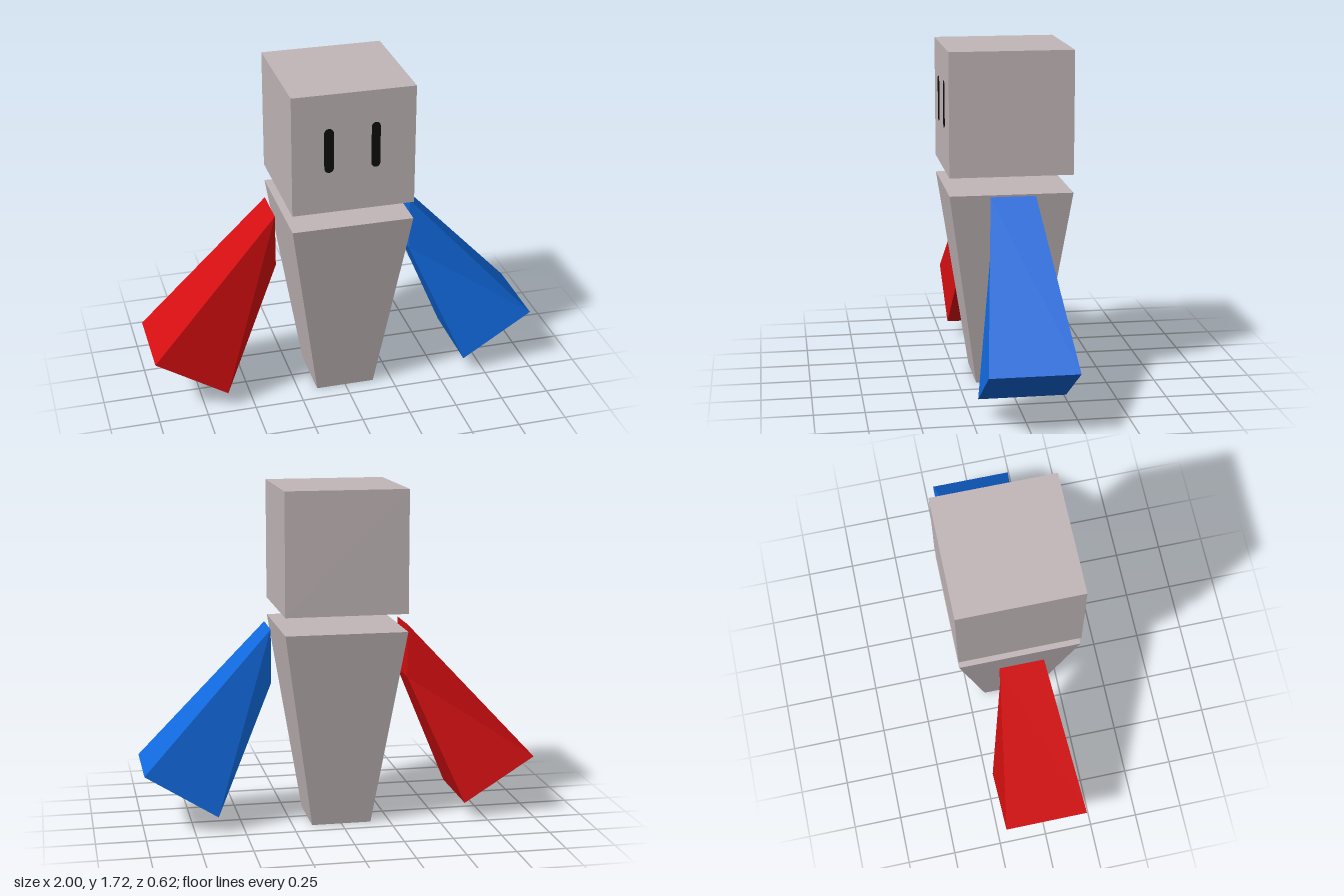
import * as THREE from 'three';

// Box whose eight corners are placed by a rule on their signs (-1 or 1)
function warpedBox(rule) {
  const geo = new THREE.BoxGeometry(2, 2, 2).toNonIndexed();
  const p = geo.attributes.position;
  for (let i = 0; i < p.count; i++) {
    p.setXYZ(i, ...rule(p.getX(i), p.getY(i), p.getZ(i)));
  }
  geo.computeVertexNormals();
  return geo;
}

export function createModel() {
  const model = new THREE.Group();
  model.name = 'figure';

  const material = (name, color) => {
    const m = new THREE.MeshStandardMaterial({ color });
    m.name = name;
    return m;
  };
  const grey = material('warm grey', 0xc1b6b8);
  const red = material('red', 0xd40e10);
  const blue = material('blue', 0x116adf);
  const black = material('black', 0x0c0e0d);

  const add = (name, geo, mat) => {
    const mesh = new THREE.Mesh(geo, mat);
    mesh.name = name;
    model.add(mesh);
    return mesh;
  };

  // Floating cube head
  add('head', new THREE.BoxGeometry(0.615, 0.615, 0.615), grey).position.y = 1.413;

  // Body tapering towards the base
  add('body', warpedBox((x, y, z) => y > 0
    ? [x * 0.307, 1.015, z * 0.307]
    : [x * 0.152, 0, z * 0.16]), grey);

  // Detached arms, flaring outwards and down
  for (const [name, side, mat] of [['leftArm', 1, blue], ['rightArm', -1, red]]) {
    add(name, warpedBox((x, y, z) => {
      if (x !== side) return [side * 0.35, y > 0 ? 1.015 : 0.743, z * 0.112];
      return y > 0 ? [side, 0.317, z * 0.215] : [side * 0.636, 0.088, z * 0.215];
    }), mat);
  }

  // Eyes: thin upright rounded plates
  for (const [name, x, y, width, height] of [
    ['leftEye', 0.109, 1.439, 0.044, 0.234],
    ['rightEye', -0.124, 1.432, 0.047, 0.228],
  ]) {
    const r = width / 2, h = height / 2 - r;
    const shape = new THREE.Shape();
    shape.absarc(0, h, r, 0, Math.PI);
    shape.absarc(0, -h, r, Math.PI, Math.PI * 2);
    shape.closePath();
    const geo = new THREE.ExtrudeGeometry(shape, { depth: 0.004, bevelEnabled: false, curveSegments: 8 });
    add(name, geo, black).position.set(x, y, 0.3065);
  }

  return model;
}
